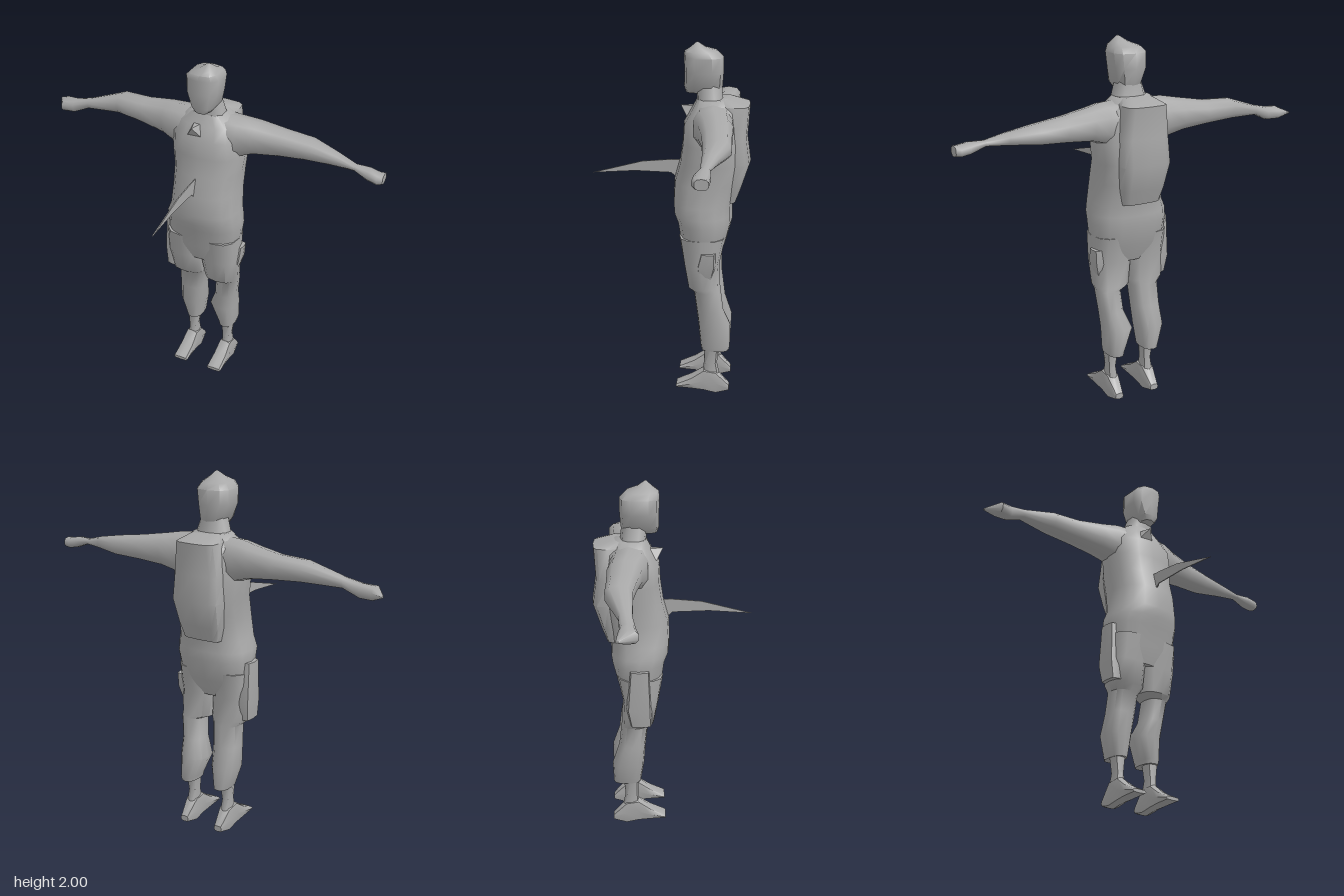
import * as THREE from 'three';
import { toCreasedNormals } from 'three/addons/utils/BufferGeometryUtils.js';

// Closed loft along an axis. Each section is [t, aMin, aMax, bMin, bMax], t increasing.
// Axis x: a=y b=z.  Axis y: a=z b=x.  Axis z: a=x b=y.
function loft(axis, sections, sides = 12, power = 0.8, crease = 0.9) {
  const k = 'xyz'.indexOf(axis);
  const pos = [], idx = [];
  const put = (t, a, b) => {
    const p = [0, 0, 0];
    p[k] = t; p[(k + 1) % 3] = a; p[(k + 2) % 3] = b;
    pos.push(...p);
  };
  const round = (v) => Math.sign(v) * Math.pow(Math.abs(v), power);
  for (const [t, a0, a1, b0, b1] of sections) {
    for (let j = 0; j < sides; j++) {
      const w = (j / sides) * Math.PI * 2;
      put(t, (a0 + a1) / 2 + (a1 - a0) / 2 * round(Math.cos(w)),
        (b0 + b1) / 2 + (b1 - b0) / 2 * round(Math.sin(w)));
    }
  }
  const last = sections.length - 1;
  for (const [t, a0, a1, b0, b1] of [sections[0], sections[last]]) put(t, (a0 + a1) / 2, (b0 + b1) / 2);
  const c = sections.length * sides;
  for (let j = 0; j < sides; j++) {
    const n = (j + 1) % sides;
    for (let i = 0; i < last; i++) {
      const p = i * sides + j, q = i * sides + n;
      idx.push(p, q, q + sides, p, q + sides, p + sides);
    }
    idx.push(c, n, j, c + 1, last * sides + j, last * sides + n);
  }
  const g = new THREE.BufferGeometry();
  g.setAttribute('position', new THREE.Float32BufferAttribute(pos, 3));
  g.setIndex(idx);
  return toCreasedNormals(g, crease);
}

export function createModel() {
  const root = new THREE.Group();
  root.name = 'figure';
  const grey = new THREE.MeshStandardMaterial({ color: 0xa8a8a8, side: THREE.DoubleSide });
  grey.name = 'plain grey';
  const add = (name, geometry) => {
    const m = new THREE.Mesh(geometry, grey);
    m.name = name;
    root.add(m);
    return m;
  };

  // Torso with belly overhang and sloping shoulders
  add('torso', loft('y', [
    [0.80, -0.27, -0.09, -0.17, 0.17],
    [0.90, -0.31, -0.06, -0.21, 0.21],
    [1.02, -0.34, -0.04, -0.215, 0.22],
    [1.07, -0.34, -0.02, -0.215, 0.22],
    [1.13, -0.34, -0.015, -0.19, 0.21],
    [1.25, -0.37, -0.02, -0.18, 0.20],
    [1.36, -0.39, -0.05, -0.185, 0.20],
    [1.47, -0.38, -0.065, -0.20, 0.215],
    [1.57, -0.37, -0.07, -0.20, 0.20],
    [1.64, -0.36, -0.11, -0.17, 0.17],
    [1.70, -0.31, -0.14, -0.10, 0.10],
  ], 16));

  // Pack on the back
  add('backPack', loft('y', [
    [1.14, -0.36, -0.28, -0.11, 0.11],
    [1.22, -0.39, -0.26, -0.13, 0.13],
    [1.36, -0.435, -0.26, -0.145, 0.145],
    [1.50, -0.415, -0.26, -0.14, 0.14],
    [1.67, -0.425, -0.26, -0.12, 0.12],
    [1.70, -0.33, -0.24, -0.08, 0.08],
  ], 12, 0.55));

  // Neck and head
  add('neck', loft('y', [
    [1.60, -0.31, -0.13, -0.13, 0.13],
    [1.69, -0.28, -0.14, -0.09, 0.10],
    [1.78, -0.27, -0.13, -0.06, 0.07],
  ], 10));
  add('head', loft('y', [
    [1.73, -0.26, -0.08, -0.035, 0.05],
    [1.76, -0.275, -0.07, -0.06, 0.075],
    [1.84, -0.28, -0.07, -0.095, 0.09],
    [1.92, -0.28, -0.068, -0.098, 0.10],
    [1.95, -0.25, -0.07, -0.07, 0.085],
    [1.97, -0.19, -0.10, -0.02, 0.065],
    [2.00, -0.145, -0.135, 0.025, 0.035],
  ], 10, 0.7));

  // Arms, held straight out and ending in flat hands
  add('leftArm', loft('x', [
    [0.05, 1.44, 1.69, -0.34, -0.12],
    [0.18, 1.46, 1.68, -0.34, -0.13],
    [0.27, 1.49, 1.665, -0.35, -0.16],
    [0.42, 1.505, 1.64, -0.35, -0.19],
    [0.57, 1.515, 1.62, -0.355, -0.205],
    [0.72, 1.525, 1.59, -0.30, -0.215],
    [0.83, 1.53, 1.56, -0.265, -0.215],
    [0.91, 1.50, 1.56, -0.275, -0.19],
    [0.96, 1.49, 1.55, -0.27, -0.185],
    [0.99, 1.495, 1.55, -0.27, -0.20],
  ], 10));
  add('rightArm', loft('x', [
    [-1.00, 1.505, 1.515, -0.295, -0.275],
    [-0.94, 1.475, 1.545, -0.29, -0.185],
    [-0.87, 1.475, 1.55, -0.28, -0.20],
    [-0.78, 1.515, 1.57, -0.285, -0.215],
    [-0.58, 1.525, 1.635, -0.355, -0.21],
    [-0.42, 1.51, 1.64, -0.35, -0.19],
    [-0.27, 1.49, 1.665, -0.35, -0.16],
    [-0.18, 1.46, 1.68, -0.34, -0.13],
    [-0.05, 1.44, 1.69, -0.34, -0.12],
  ], 10));

  // Trouser legs, then bare ankles
  add('leftLeg', loft('y', [
    [0.275, -0.34, -0.185, 0.08, 0.17],
    [0.30, -0.345, -0.18, 0.075, 0.175],
    [0.42, -0.345, -0.165, 0.02, 0.18],
    [0.52, -0.305, -0.155, 0.06, 0.185],
    [0.64, -0.29, -0.14, 0.07, 0.20],
    [0.66, -0.285, -0.105, 0.01, 0.205],
    [0.80, -0.28, -0.08, -0.01, 0.215],
    [0.95, -0.31, -0.055, -0.01, 0.215],
  ]));
  add('rightLeg', loft('y', [
    [0.275, -0.34, -0.185, -0.135, -0.045],
    [0.40, -0.345, -0.165, -0.175, -0.025],
    [0.52, -0.305, -0.155, -0.17, -0.015],
    [0.64, -0.29, -0.14, -0.165, -0.005],
    [0.67, -0.285, -0.105, -0.20, 0.01],
    [0.80, -0.28, -0.08, -0.215, 0.01],
    [0.95, -0.31, -0.055, -0.215, 0.01],
  ]));
  for (const [side, x] of [['left', 0.13], ['right', -0.095]]) {
    add(side + 'Ankle', loft('y', [
      [0.08, -0.30, -0.19, x - 0.035, x + 0.035],
      [0.19, -0.275, -0.20, x - 0.025, x + 0.025],
      [0.30, -0.285, -0.20, x - 0.04, x + 0.04],
    ], 8));
    // Wedge shaped foot, toe forward
    add(side + 'Foot', loft('z', [
      [-0.345, x - 0.025, x + 0.025, 0.025, 0.06],
      [-0.27, x - 0.04, x + 0.04, 0.0, 0.15],
      [-0.20, x - 0.04, x + 0.04, 0.015, 0.16],
      [-0.13, x - 0.045, x + 0.045, 0.03, 0.105],
      [-0.045, x - 0.045, x + 0.045, 0.04, 0.06],
    ], 8, 0.6, 0.7));
  }

  // Hip pockets
  add('rightPocket', loft('y', [
    [0.68, -0.24, -0.12, -0.225, -0.14],
    [0.78, -0.26, -0.12, -0.237, -0.14],
    [1.01, -0.24, -0.13, -0.235, -0.14],
  ], 8, 0.5));
  add('leftPocket', loft('y', [
    [0.72, -0.24, -0.17, 0.17, 0.20],
    [0.80, -0.26, -0.16, 0.15, 0.225],
    [0.88, -0.26, -0.18, 0.15, 0.23],
  ], 8, 0.5));

  // Thin spike projecting from the belly
  const outline = [[-0.06, 1.35], [0.0, 1.35], [0.16, 1.335], [0.435, 1.262], [0.2, 1.28], [0.0, 1.275], [-0.06, 1.22]];
  const spike = new THREE.ExtrudeGeometry(
    new THREE.Shape(outline.map(([z, y]) => new THREE.Vector2(z, y))), { depth: 0.006, bevelEnabled: false });
  spike.rotateY(-Math.PI / 2).translate(0.003, 0, 0);
  add('bellySpike', spike);

  // Triangular fold on the chest, facing down
  const fold = new THREE.BufferGeometry();
  fold.setAttribute('position', new THREE.Float32BufferAttribute([
    -0.07, 1.585, -0.09, 0.02, 1.585, -0.09, -0.025, 1.65, -0.05,
    0.02, 1.585, -0.09, 0.0, 1.65, -0.14, -0.025, 1.65, -0.05,
    -0.07, 1.585, -0.09, -0.025, 1.65, -0.05, -0.05, 1.65, -0.14,
    -0.05, 1.65, -0.14, -0.025, 1.65, -0.05, 0.0, 1.65, -0.14,
  ], 3));
  fold.computeVertexNormals();
  add('chestFold', fold);

  return root;
}
